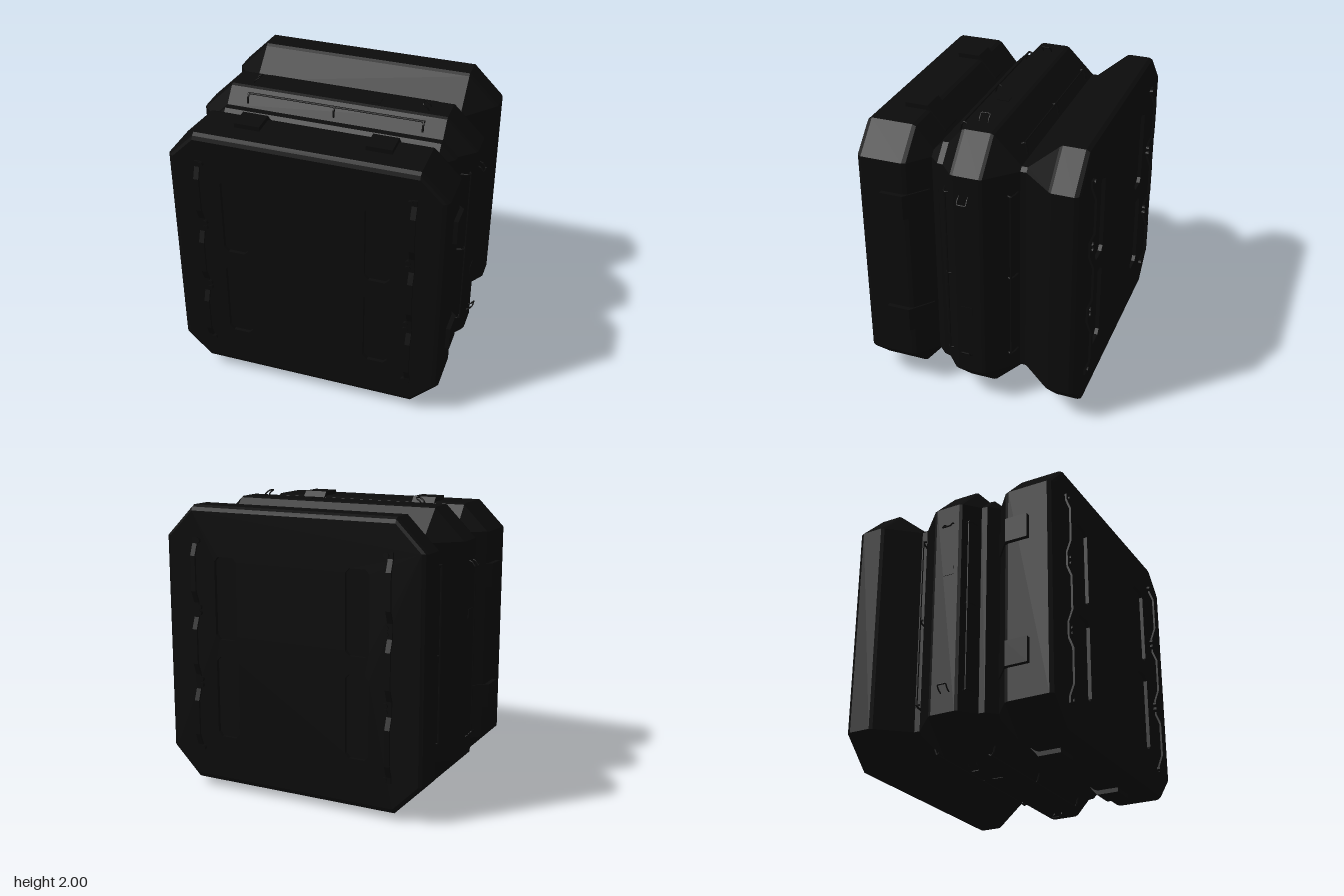
import * as THREE from 'three';

const black = new THREE.MeshStandardMaterial({ color: 0x0b0b0b, flatShading: true });
black.name = 'matte black';

const FLAT = 0.74; // half length of each straight side of the octagon
const ring = (h) => [[h, -FLAT], [h, FLAT], [FLAT, h], [-FLAT, h], [-h, FLAT], [-h, -FLAT], [-FLAT, -h], [FLAT, -h]];

function mesh(name, geometry, parent) {
  const m = new THREE.Mesh(geometry, black);
  m.name = name;
  parent.add(m);
  return m;
}

// Octagonal shell through [z, half size] stations, listed front to back
function loft(stations) {
  const pos = [];
  for (let i = 0; i + 1 < stations.length; i++) {
    const [zf, hf] = stations[i], [zb, hb] = stations[i + 1];
    const f = ring(hf), b = ring(hb);
    for (let j = 0; j < 8; j++) {
      const k = (j + 1) % 8;
      pos.push(...f[j], zf, ...b[j], zb, ...f[k], zf);
      pos.push(...f[k], zf, ...b[j], zb, ...b[k], zb);
    }
  }
  const g = new THREE.BufferGeometry();
  g.setAttribute('position', new THREE.Float32BufferAttribute(pos, 3));
  g.computeVertexNormals();
  return g;
}

const polygon = (pts, Kind = THREE.Shape) => new Kind(pts.map(([x, y]) => new THREE.Vector2(x, y)));

// Chamfered rectangular recess outline
function recess(x, y, w, h, c) {
  return polygon([[x - w + c, y - h], [x + w - c, y - h], [x + w, y - h + c], [x + w, y + h - c],
    [x + w - c, y + h], [x - w + c, y + h], [x - w, y + h - c], [x - w, y - h + c]], THREE.Path);
}

// Tube through points given as [x, height, z]
function wire(points, radius) {
  const path = new THREE.CatmullRomCurve3(points.map((p) => new THREE.Vector3(...p)), false, 'catmullrom', 0.1);
  return new THREE.TubeGeometry(path, points.length * 4, radius, 6);
}

// Flat end face with four recesses, and the two grab rails in front of it
function endFace(h) {
  const g = new THREE.Group();
  g.name = 'endFace';
  const plate = polygon(ring(h));
  for (const x of [-0.485, 0.485]) for (const y of [-0.34, 0.34]) plate.holes.push(recess(x, y, 0.085, 0.28, 0.03));
  mesh('facePlate', new THREE.ExtrudeGeometry(plate, { depth: 0.03, bevelEnabled: false }), g).position.z = 0.71;
  mesh('recessFloor', new THREE.ShapeGeometry(polygon(ring(h - 0.02))), g).position.z = 0.715;

  // Rail outline as [z, y]: three bowed spans between the feet
  const outer = [[0.752, -0.74]];
  for (const y of [-0.5, 0, 0.5]) {
    outer.push([0.752, y - 0.2], [0.782, y - 0.12], [0.782, y + 0.12], [0.752, y + 0.2]);
  }
  outer.push([0.752, 0.74]);
  const inner = outer.map(([z, y]) => [z - 0.014, y]).reverse();
  for (const s of [-1, 1]) {
    const rail = new THREE.ExtrudeGeometry(polygon([...outer, ...inner]), { depth: 0.035, bevelEnabled: false });
    rail.rotateY(-Math.PI / 2); // outline z becomes model z
    mesh('grabRail', rail.translate(0, 0, 0), g).position.x = s * 0.715 + 0.0175;
    for (const y of [-0.72, -0.27, -0.23, 0.23, 0.27, 0.72]) {
      const bolt = mesh('railBolt', new THREE.CylinderGeometry(0.018, 0.018, 0.03, 10), g);
      bolt.rotation.x = Math.PI / 2;
      bolt.position.set(s * 0.69, y, 0.747);
    }
  }
  return g;
}

// Fittings on one of the four long sides, made for the top
function sideFittings() {
  const g = new THREE.Group();
  g.name = 'sideFittings';

  // Latch covers wrapping over the lid edge, outline as [z, height]
  const latch = polygon([[0.575, 0.90], [0.575, 0.955], [0.42, 0.955], [0.295, 0.805], [0.31, 0.77], [0.42, 0.90]]);
  for (const s of [-1, 1]) {
    const geo = new THREE.ExtrudeGeometry(latch, { depth: 0.17, bevelEnabled: false });
    geo.rotateY(-Math.PI / 2);
    mesh('latchCover', geo, g).position.x = s * 0.435 + 0.085;
  }

  // Thin rails along both slopes of the middle band, with curled posts
  const rails = [
    [[0.16, 0.865], [0.15, 0.91], [0.135, 0.93], [0.115, 0.92]],
    [[-0.29, 0.775], [-0.285, 0.815], [-0.27, 0.855], [-0.25, 0.845]],
  ];
  for (const post of rails) {
    const [z, y] = post[2];
    mesh('sideRail', wire([[-0.6, y, z], [0, y, z], [0.6, y, z]], 0.007), g);
    for (const x of [-0.6, 0, 0.6]) mesh('railPost', wire(post.map(([pz, py]) => [x, py, pz]), 0.007), g);
  }

  // Wire tie-down loops leaning inward
  for (const s of [-1, 1]) {
    const at = (x, y, z) => [s * x, y, z];
    mesh('tieLoop', wire([at(0.61, 0.94, -0.03), at(0.595, 0.972, -0.03), at(0.565, 0.994, -0.03),
      at(0.565, 0.994, 0.03), at(0.595, 0.972, 0.03), at(0.61, 0.94, 0.03)], 0.005), g);
  }
  mesh('sidePlate', new THREE.BoxGeometry(0.06, 0.012, 0.08), g).position.set(0.25, 0.951, 0);
  return g;
}

export function createModel() {
  const model = new THREE.Group();
  model.name = 'cargoContainer';
  const body = new THREE.Group();
  body.name = 'body';
  body.position.y = 1;
  model.add(body);

  // Front lid, stepped middle band and rear slab, split by V grooves
  mesh('frontLid', loft([[0.74, 0.885], [0.73, 0.91], [0.705, 0.925], [0.425, 0.925], [0.4, 0.915], [0.285, 0.775]]), body);
  mesh('middleBand', loft([[0.285, 0.775], [0.22, 0.84], [0.18, 0.845], [0.09, 0.945], [0.07, 0.953],
    [-0.1, 0.953], [-0.12, 0.945], [-0.27, 0.795], [-0.3, 0.765], [-0.34, 0.765]]), body);
  mesh('rearSlab', loft([[-0.34, 0.765], [-0.54, 0.94], [-0.56, 0.953], [-0.705, 0.953], [-0.73, 0.94], [-0.74, 0.915]]), body);

  body.add(endFace(0.885));
  const back = endFace(0.915);
  back.rotation.y = Math.PI;
  body.add(back);

  for (let i = 0; i < 4; i++) {
    const side = sideFittings();
    side.rotation.z = (i * Math.PI) / 2;
    body.add(side);
  }
  return model;
}
